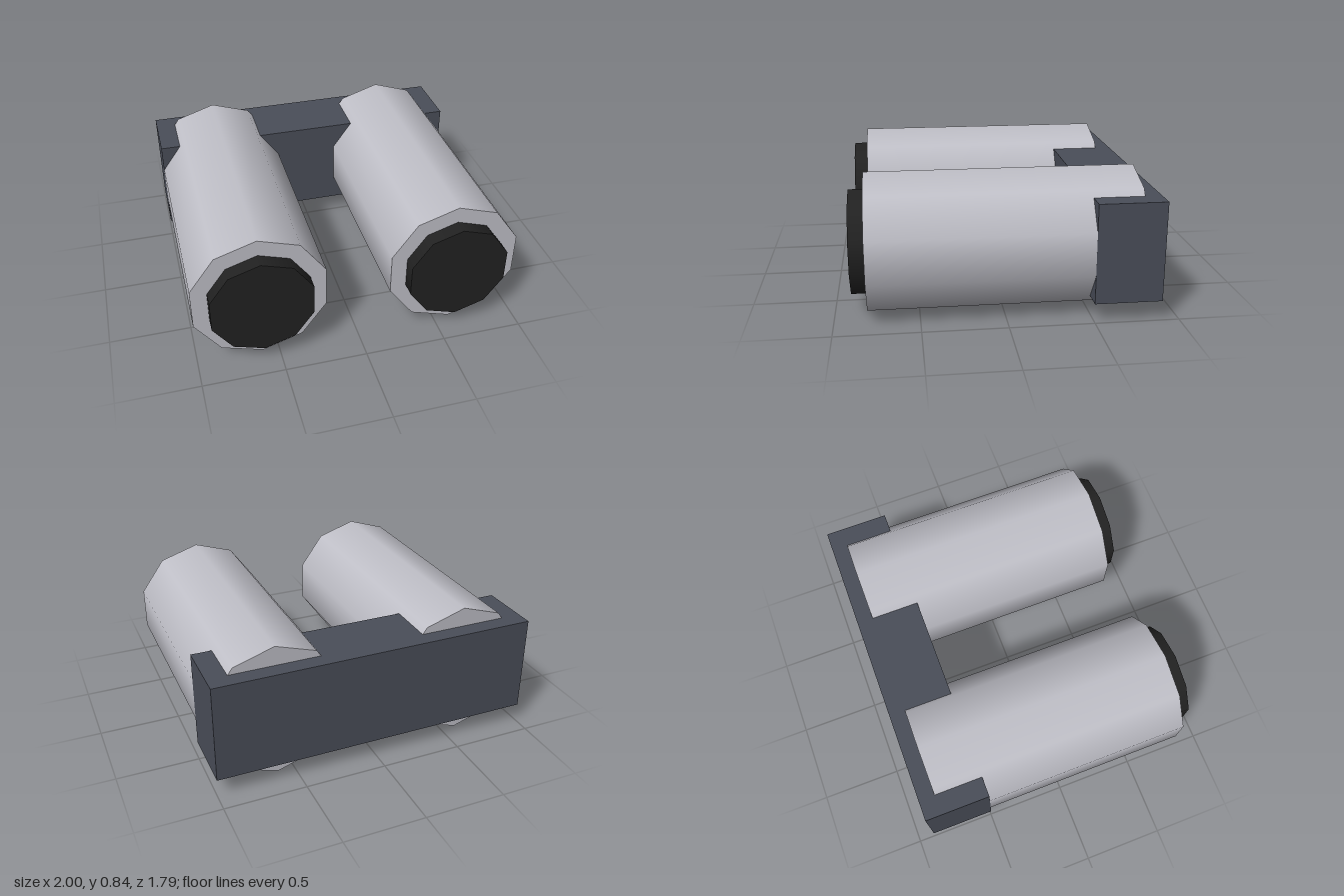
import * as THREE from 'three';

export function createModel() {
  const group = new THREE.Group();
  const mat = (name, color) => {
    const m = new THREE.MeshStandardMaterial({ color });
    m.name = name;
    return m;
  };
  const lightGrey = mat('lightGrey', 0xc0c0c8);
  const slate = mat('slate', 0x4a4e59);
  const black = mat('black', 0x222222);
  const centreY = 0.42;

  const add = (name, geometry, material, x, z) => {
    const mesh = new THREE.Mesh(geometry, material);
    mesh.name = name;
    mesh.position.set(x, centreY, z);
    group.add(mesh);
  };
  // Ten-sided cylinder lying along z, with a corner at top and bottom
  const drum = (radius, length) =>
    new THREE.CylinderGeometry(radius, radius, length, 10).rotateX(Math.PI / 2);

  // Cross bar joining the two barrels at the back
  add('crossBar', new THREE.BoxGeometry(2, 0.6, 0.4), slate, 0, -0.695);

  // Barrels and their dark front caps
  for (const [side, x] of [['right', -0.6], ['left', 0.6]]) {
    add(side + 'Barrel', drum(0.42, 1.6), lightGrey, x, 0.005);
    add(side + 'FrontCap', drum(0.318, 0.1), black, x, 0.845);
  }
  return group;
}
